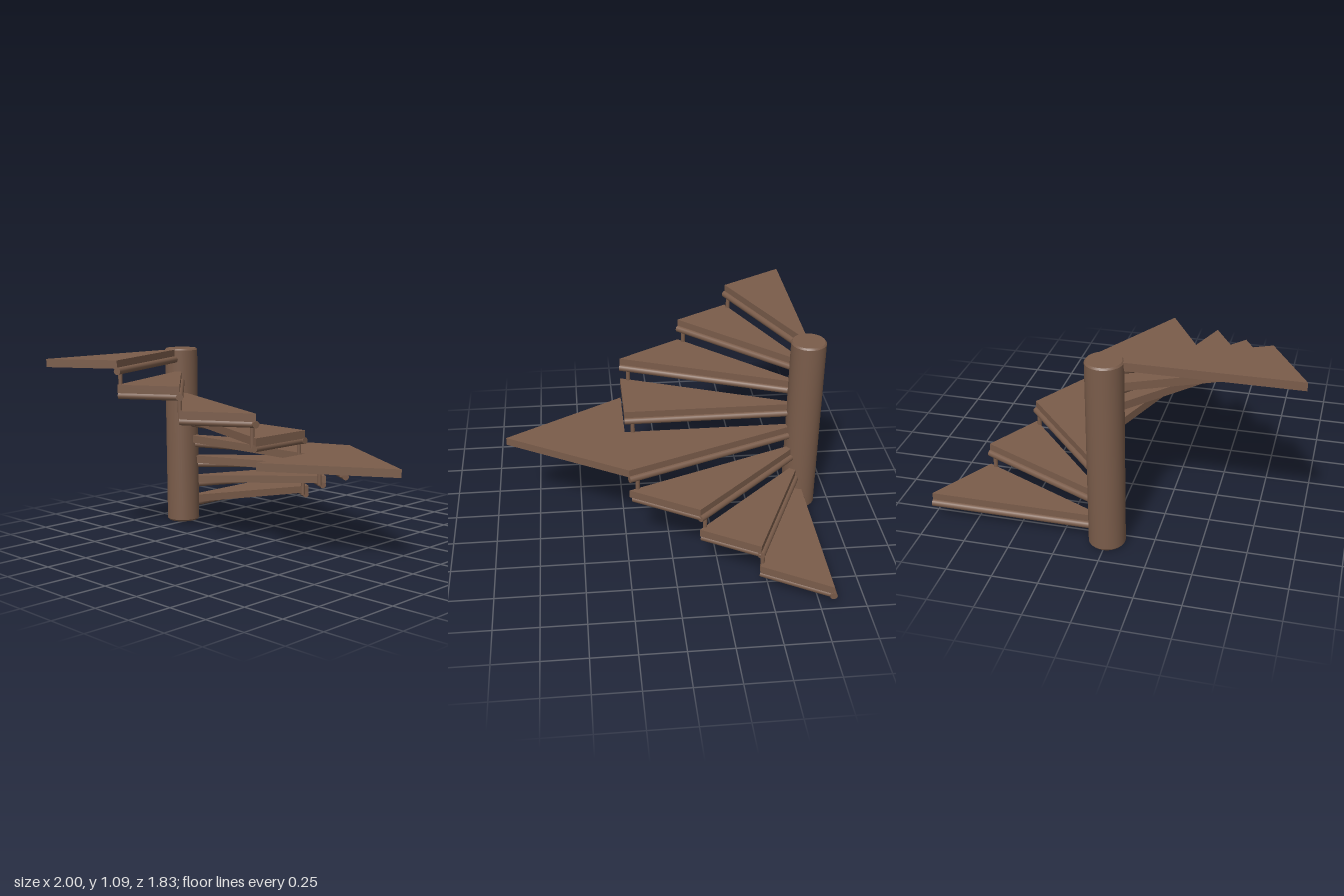
import * as THREE from 'three';

const wood = new THREE.MeshStandardMaterial({ color: 0x7a5c4a });
wood.name = 'brown wood';

const AXIS_Z = -0.813, POST_R = 0.1;
const STEPS = 8, FIRST_TOP = 0.145, RISE = 0.1343, TREAD = 0.046, BAR_R = 0.02;

// Outer ends [x, z] of the radial edges, from the lowest step round to the top
const right = [[1, -0.811], [0.79, -0.449], [0.61, -0.138], [0.394, 0.232]];
const rim = [...right, [0, 0.232], ...right.map(([x, z]) => [-x, z]).reverse()];

function add(group, name, geometry) {
  const mesh = new THREE.Mesh(geometry, wood);
  mesh.name = name;
  group.add(mesh);
  return mesh;
}

// Flat board with the outline given in x, z
function board(group, name, outline, top) {
  const shape = new THREE.Shape(outline.map(([x, z]) => new THREE.Vector2(x, z)));
  const geometry = new THREE.ExtrudeGeometry(shape, { depth: TREAD, bevelEnabled: false });
  geometry.rotateX(Math.PI / 2);
  add(group, name, geometry).position.y = top;
}

// Round bar between two points
function rod(group, name, a, b, radius) {
  const dir = b.clone().sub(a);
  const mesh = add(group, name, new THREE.CylinderGeometry(radius, radius, dir.length(), 16));
  mesh.position.copy(a).add(b).multiplyScalar(0.5);
  mesh.quaternion.setFromUnitVectors(new THREE.Vector3(0, 1, 0), dir.normalize());
}

// Point a fraction t of the way from the column axis to a rim corner
function onEdge([x, z], t, y) {
  return new THREE.Vector3(x * t, y, AXIS_Z + (z - AXIS_Z) * t);
}

export function createModel() {
  const model = new THREE.Group();
  model.name = 'spiralStaircase';

  // Central column with softened rims
  const profile = [[0, 0], [0.092, 0], [0.092, 0], [POST_R, 0.01], [POST_R, 0.01],
    [POST_R, 1.08], [POST_R, 1.08], [0.092, 1.09], [0.092, 1.09], [0, 1.09]];
  const column = new THREE.LatheGeometry(profile.map(([r, y]) => new THREE.Vector2(r, y)), 40);
  add(model, 'column', column).position.z = AXIS_Z;

  for (let i = 0; i < STEPS; i++) {
    const step = new THREE.Group();
    step.name = 'step' + (i + 1);
    model.add(step);
    const top = FIRST_TOP + i * RISE, barY = top - 0.06;
    const near = rim[i], far = rim[i + 1];

    // Wedge tread and the bar under its leading edge
    board(step, 'tread', [[0, AXIS_Z], near, far], top);
    const length = Math.hypot(near[0], near[1] - AXIS_Z);
    rod(step, 'edgeBar', onEdge(near, 0.09 / length, barY), onEdge(near, 1, barY), BAR_R);

    // Bar under the outer edge and the post up to the next step
    if (i < STEPS - 1) {
      rod(step, 'outerBar', onEdge(near, 0.98, barY), onEdge(far, 0.98, barY), BAR_R);
      rod(step, 'riserPost', onEdge(far, 0.955, barY), onEdge(far, 0.955, barY + RISE), 0.012);
    }
  }

  // Pointed landing halfway up
  board(model, 'landing', [rim[3], [0, 0.913], rim[5]], FIRST_TOP + 3 * RISE);
  return model;
}
